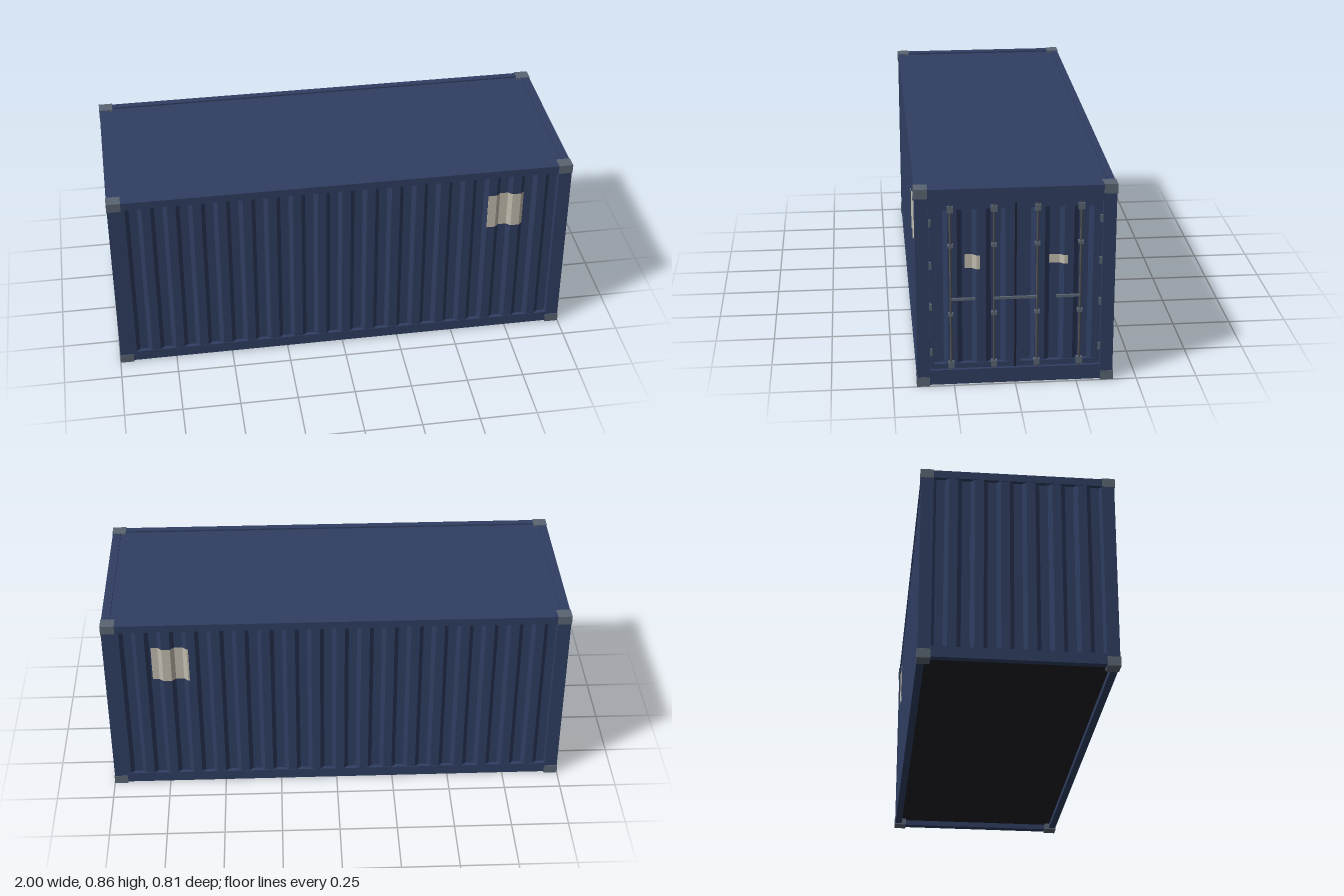
import * as THREE from 'three';

const mat = (name, color, side = THREE.FrontSide) => {
  const m = new THREE.MeshStandardMaterial({ color, side });
  m.name = name;
  return m;
};

// Corrugation: from "start", repeats recess, rise, ridge, fall
function depthAt(u, c) {
  const t = (((u - c.start) % c.period) + c.period) % c.period;
  const [a, b, d] = c.steps;
  if (t <= a) return -c.depth;
  if (t <= b) return -c.depth * (1 - (t - a) / (b - a));
  if (t <= d) return 0;
  return -c.depth * ((t - d) / (c.period - d));
}

// Folded sheet facing +z, spanning u0..u1 along x
function sheet(c, u0, u1, y0, y1, offset) {
  const us = [u0];
  for (let k = -1; k < 25; k++) {
    for (const s of [0, ...c.steps]) {
      const u = c.start + k * c.period + s;
      if (u > u0 + 1e-4 && u < u1 - 1e-4) us.push(u);
    }
  }
  us.push(u1);
  const pos = [];
  for (let i = 0; i < us.length - 1; i++) {
    const a = us[i], b = us[i + 1];
    const za = depthAt(a + 1e-6, c) + offset, zb = depthAt(b - 1e-6, c) + offset;
    pos.push(a, y0, za, b, y0, zb, b, y1, zb, a, y0, za, b, y1, zb, a, y1, za);
  }
  const g = new THREE.BufferGeometry();
  g.setAttribute('position', new THREE.Float32BufferAttribute(pos, 3));
  g.computeVertexNormals();
  return g;
}

export function createModel() {
  const root = new THREE.Group();
  root.name = 'shippingContainer';
  const blue = mat('blue paint', 0x2f3e61, THREE.DoubleSide);
  const steel = mat('grey steel', 0x5a6573);
  const rodSteel = mat('dark rod steel', 0x505256);
  const rubber = mat('rubber seal', 0x1d2230);
  const under = mat('dark floor', 0x202026);
  const label = mat('off-white label', 0xc2bcae, THREE.DoubleSide);

  const add = (name, geo, material, parent = root) => {
    const m = new THREE.Mesh(geo, material);
    m.name = name;
    parent.add(m);
    return m;
  };
  // Box given by its minimum and maximum corners
  const box = (name, x0, x1, y0, y1, z0, z1, material, parent) => {
    const m = add(name, new THREE.BoxGeometry(x1 - x0, y1 - y0, z1 - z0), material, parent);
    m.position.set((x0 + x1) / 2, (y0 + y1) / 2, (z0 + z1) / 2);
    return m;
  };

  // Corner castings and posts
  for (const sx of [-1, 1]) {
    for (const sz of [-1, 1]) {
      for (const y of [0.02, 0.837]) {
        add('cornerCasting', new THREE.BoxGeometry(0.06, 0.04, 0.054), steel)
          .position.set(sx * 0.97, y, sz * 0.376);
      }
      add('cornerPost', new THREE.BoxGeometry(0.056, 0.8, 0.052), blue)
        .position.set(sx * 0.97, 0.428, sz * 0.374);
    }
  }

  // Long rails on both sides
  for (const s of [-1, 1]) {
    add('bottomSideRail', new THREE.BoxGeometry(1.89, 0.047, 0.03), blue).position.set(0, 0.0295, s * 0.385);
    add('topSideRail', new THREE.BoxGeometry(1.89, 0.034, 0.03), blue).position.set(0, 0.837, s * 0.385);
  }
  // Cross rails at both ends
  box('doorHeader', 0.962, 0.998, 0.79, 0.854, -0.35, 0.35, blue);
  box('doorSill', 0.962, 0.998, 0.006, 0.07, -0.35, 0.35, blue);
  box('rearTopRail', -0.998, -0.958, 0.82, 0.854, -0.35, 0.35, blue);
  box('rearBottomRail', -0.998, -0.968, 0.006, 0.053, -0.35, 0.35, blue);

  // Roof and floor, set in from the rails
  box('roof', -0.962, 0.968, 0.832, 0.847, -0.372, 0.372, blue);
  box('floor', -0.97, 0.965, 0.03, 0.045, -0.372, 0.372, under);

  // Corrugated side walls with a label that follows the folds
  const sideFold = { start: -0.9075, period: 0.1065, steps: [0.035, 0.0525, 0.089], depth: 0.016 };
  for (const s of [1, -1]) {
    const side = new THREE.Group();
    side.name = s > 0 ? 'frontWall' : 'backWall';
    side.rotation.y = s > 0 ? 0 : Math.PI;
    root.add(side);
    add('corrugatedPanel', sheet(sideFold, -0.945, 0.945, 0.05, 0.823, 0.398), blue, side);
    const mid = s * 0.715;
    add('wallLabel', sheet(sideFold, mid - 0.08, mid + 0.08, 0.565, 0.73, 0.401), label, side);
  }

  // Corrugated blank end
  const endFold = { ...sideFold, start: -0.0175 - 0.1065 * 3 };
  const end = new THREE.Group();
  end.name = 'blankEnd';
  end.rotation.y = -Math.PI / 2;
  root.add(end);
  add('corrugatedPanel', sheet(endFold, -0.35, 0.35, 0.05, 0.823, 0.996), blue, end);

  // Door end, built facing +z and turned to +x, so u = -z
  const doors = new THREE.Group();
  doors.name = 'doorEnd';
  doors.rotation.y = Math.PI / 2;
  root.add(doors);
  const leaves = [
    { u0: -0.346, u1: -0.004, in0: -0.33, in1: -0.022, label: [-0.203, -0.143, 0.506, 0.566] },
    { u0: 0.004, u1: 0.346, in0: 0.022, in1: 0.33, label: [0.136, 0.21, 0.517, 0.554] },
  ];
  for (const d of leaves) {
    const fold = { start: d.in0, period: 0.116, steps: [0.04, 0.058, 0.096], depth: 0.016 };
    const door = new THREE.Group();
    door.name = 'doorLeaf';
    doors.add(door);
    box('outerStile', d.u0, d.in0, 0.071, 0.789, 0.955, 0.986, blue, door);
    box('innerStile', d.in1, d.u1, 0.071, 0.789, 0.955, 0.986, blue, door);
    box('bottomFrame', d.in0, d.in1, 0.071, 0.093, 0.955, 0.986, blue, door);
    box('topFrame', d.in0, d.in1, 0.765, 0.789, 0.955, 0.986, blue, door);
    add('doorPanel', sheet(fold, d.in0, d.in1, 0.093, 0.765, 0.982), blue, door);
    add('doorLabel', sheet(fold, ...d.label, 0.985), label, door);
  }
  box('doorSeal', -0.004, 0.004, 0.07, 0.79, 0.955, 0.988, rubber, doors);

  // Locking rods with their keepers, guides and handles
  for (const s of [-1, 1]) {
    for (const r of [0.087, 0.261]) {
      const u = s * r;
      add('lockRod', new THREE.CylinderGeometry(0.005, 0.005, 0.72, 10), rodSteel, doors)
        .position.set(u, 0.43, 0.991);
      for (const y of [0.092, 0.767]) {
        box('rodKeeper', u - 0.0125, u + 0.0125, y - 0.0135, y + 0.0135, 0.98, 0.998, steel, doors);
      }
      for (const y of [0.315, 0.612]) {
        box('rodGuide', u - 0.011, u + 0.011, y - 0.007, y + 0.007, 0.98, 0.998, steel, doors);
      }
      const tip = r < 0.1 ? 0 : s * 0.163;
      box('lockHandle', Math.min(u, tip), Math.max(u, tip), 0.377, 0.387, 0.99, 0.999, steel, doors);
    }
    for (const y of [0.15, 0.35, 0.53, 0.711]) {
      box('hinge', s * 0.342 - 0.005, s * 0.342 + 0.005, y - 0.015, y + 0.015, 0.975, 0.996, steel, doors);
    }
  }
  return root;
}
